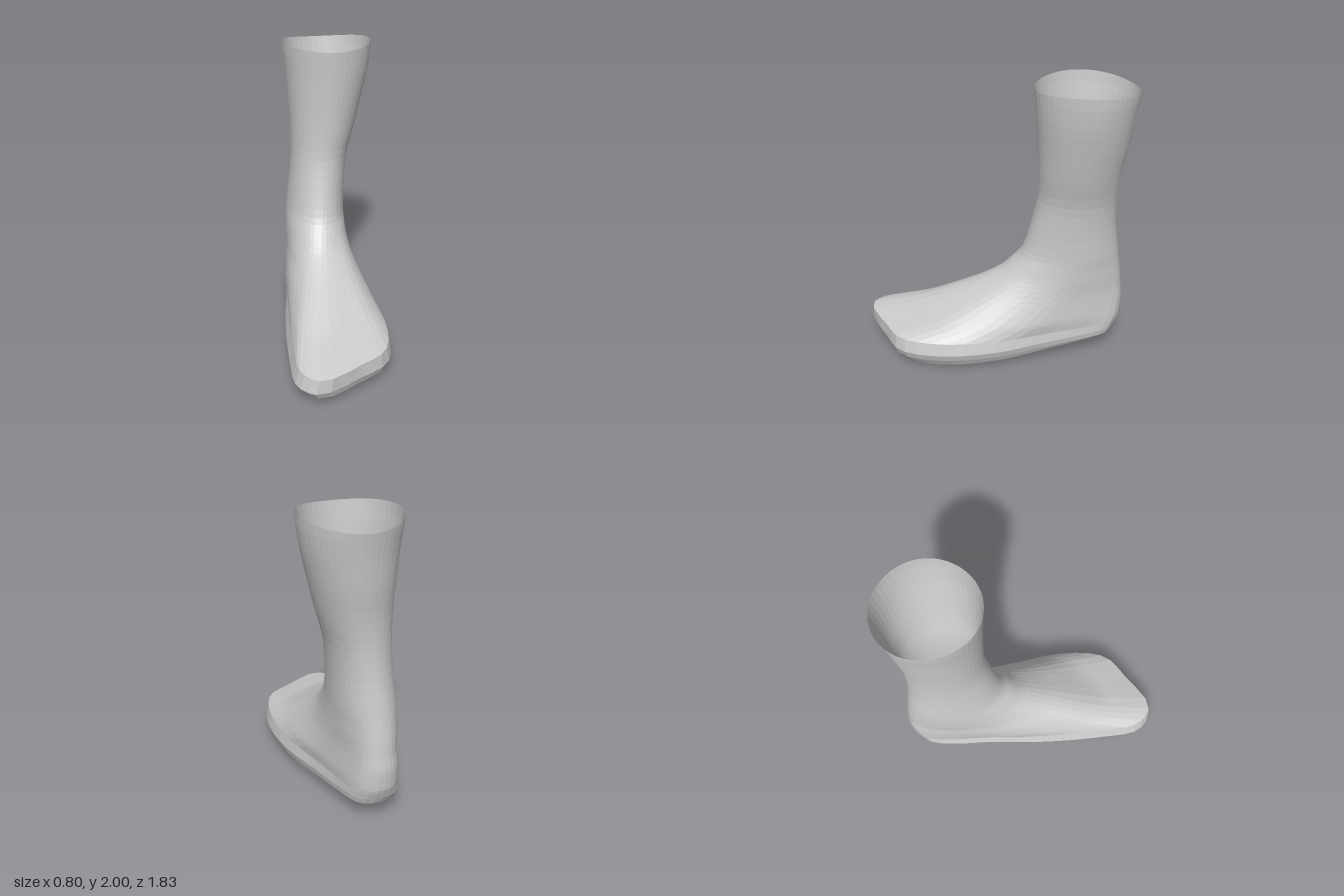
import * as THREE from 'three';

const SEG = 48; // points round each ring
const SUB = 3;  // rings between two levels

// Foot outline [x, z]: toe tip, outer side, heel (index 8), inner side
const outline = [
  [-0.29, 0.91], [0.03, 0.79], [0.25, 0.64], [0.325, 0.35], [0.31, 0], [0.22, -0.35],
  [0.15, -0.63], [0.09, -0.81], [-0.06, -0.87], [-0.2, -0.79], [-0.25, -0.6], [-0.28, -0.35],
  [-0.335, -0.05], [-0.375, 0.25], [-0.395, 0.52], [-0.4, 0.77],
];

// Levels: height at front, height at back, z front, z back, x min, x max, roundness (0 foot, 1 leg)
const levels = [
  [0.0, 0.14, 0.82, -0.83, -0.33, 0.29, 0],
  [0.06, 0.15, 0.89, -0.85, -0.37, 0.315, 0],
  [0.11, 0.19, 0.915, -0.87, -0.4, 0.33, 0],
  [0.205, 0.24, 0.91, -0.89, -0.37, 0.31, 0],
  [0.25, 0.27, 0.74, -0.9, -0.355, 0.29, 0.1],
  [0.3, 0.32, 0.56, -0.905, -0.34, 0.27, 0.2],
  [0.4, 0.41, 0.34, -0.91, -0.31, 0.23, 0.4],
  [0.5, 0.5, 0.14, -0.9, -0.277, 0.2, 0.6],
  [0.6, 0.6, -0.02, -0.89, -0.262, 0.185, 0.8],
  [0.7, 0.7, -0.12, -0.875, -0.25, 0.18, 0.9],
  [0.8, 0.8, -0.19, -0.86, -0.235, 0.18, 1],
  [1.0, 1.0, -0.245, -0.83, -0.21, 0.19, 1],
  [1.2, 1.2, -0.28, -0.82, -0.195, 0.215, 1],
  [1.4, 1.4, -0.28, -0.83, -0.195, 0.27, 1],
  [1.6, 1.6, -0.27, -0.86, -0.205, 0.32, 1],
  [1.8, 1.8, -0.255, -0.885, -0.22, 0.365, 1],
  [1.98, 1.96, -0.24, -0.91, -0.24, 0.39, 1],
];

// Smooth value between two levels; the sole edge stays straight
function levelAt(k, t) {
  const at = (i) => levels[THREE.MathUtils.clamp(i, 0, levels.length - 1)];
  return levels[k].map((a, c) => {
    const b = at(k + 1)[c];
    if (k < 4) return a + (b - a) * t;
    const m0 = (b - at(k - 1)[c]) / 2, m1 = (at(k + 2)[c] - a) / 2;
    const t2 = t * t, t3 = t2 * t;
    return a * (2 * t3 - 3 * t2 + 1) + m0 * (t3 - 2 * t2 + t) + b * (3 * t2 - 2 * t3) + m1 * (t3 - t2);
  });
}

function buildShell() {
  // Foot outline and circle, both scaled to a unit square and matched by index
  const curve = new THREE.CatmullRomCurve3(
    outline.map(([x, z]) => new THREE.Vector3((x + 0.4) / 0.725, 0, (0.91 - z) / 1.78)), true, 'centripetal');
  const foot = [], round = [];
  for (let i = 0; i < SEG; i++) {
    const a = (i / SEG) * Math.PI * 2;
    const p = curve.getPoint(i / SEG);
    foot.push([p.x, THREE.MathUtils.clamp(p.z, 0, 1)]);
    round.push([0.5 + 0.5 * Math.sin(a), 0.5 - 0.5 * Math.cos(a)]);
  }

  const rows = [];
  for (let k = 0; k < levels.length - 1; k++) {
    for (let s = 0; s < SUB; s++) rows.push(levelAt(k, s / SUB));
  }
  rows.push(levels[levels.length - 1]);

  const pos = [], index = [];
  rows.forEach(([yf, yb, zf, zb, x0, x1, r], j) => {
    for (let i = 0; i < SEG; i++) {
      const u = foot[i][0] + (round[i][0] - foot[i][0]) * r;
      const s = foot[i][1] + (round[i][1] - foot[i][1]) * r;
      let y = yf + (yb - yf) * Math.pow(s, 1.5);
      // Wavy rim, high at the sides
      if (j === rows.length - 1) y += 0.03 * Math.sin((i / SEG) * Math.PI * 2) ** 2;
      pos.push(x0 + (x1 - x0) * u, y, zf + (zb - zf) * s);
    }
  });
  for (let j = 0; j < rows.length - 1; j++) {
    for (let i = 0; i < SEG; i++) {
      const n = (i + 1) % SEG;
      const a = j * SEG + i, b = j * SEG + n, c = b + SEG, d = a + SEG;
      if ((i + j) % 2) index.push(a, b, c, a, c, d);
      else index.push(a, b, d, b, c, d);
    }
  }
  // Sole
  const centre = pos.length / 3;
  pos.push(-0.03, 0.055, 0);
  for (let i = 0; i < SEG; i++) index.push(centre, (i + 1) % SEG, i);

  const geo = new THREE.BufferGeometry();
  geo.setAttribute('position', new THREE.Float32BufferAttribute(pos, 3));
  geo.setIndex(index);
  geo.computeVertexNormals();
  return geo;
}

export function createModel() {
  const group = new THREE.Group();
  group.name = 'boot';
  const material = new THREE.MeshStandardMaterial({ color: 0xcccccc, flatShading: true, side: THREE.DoubleSide });
  const shell = new THREE.Mesh(buildShell(), material);
  shell.name = 'bootShell';
  group.add(shell);
  return group;
}
